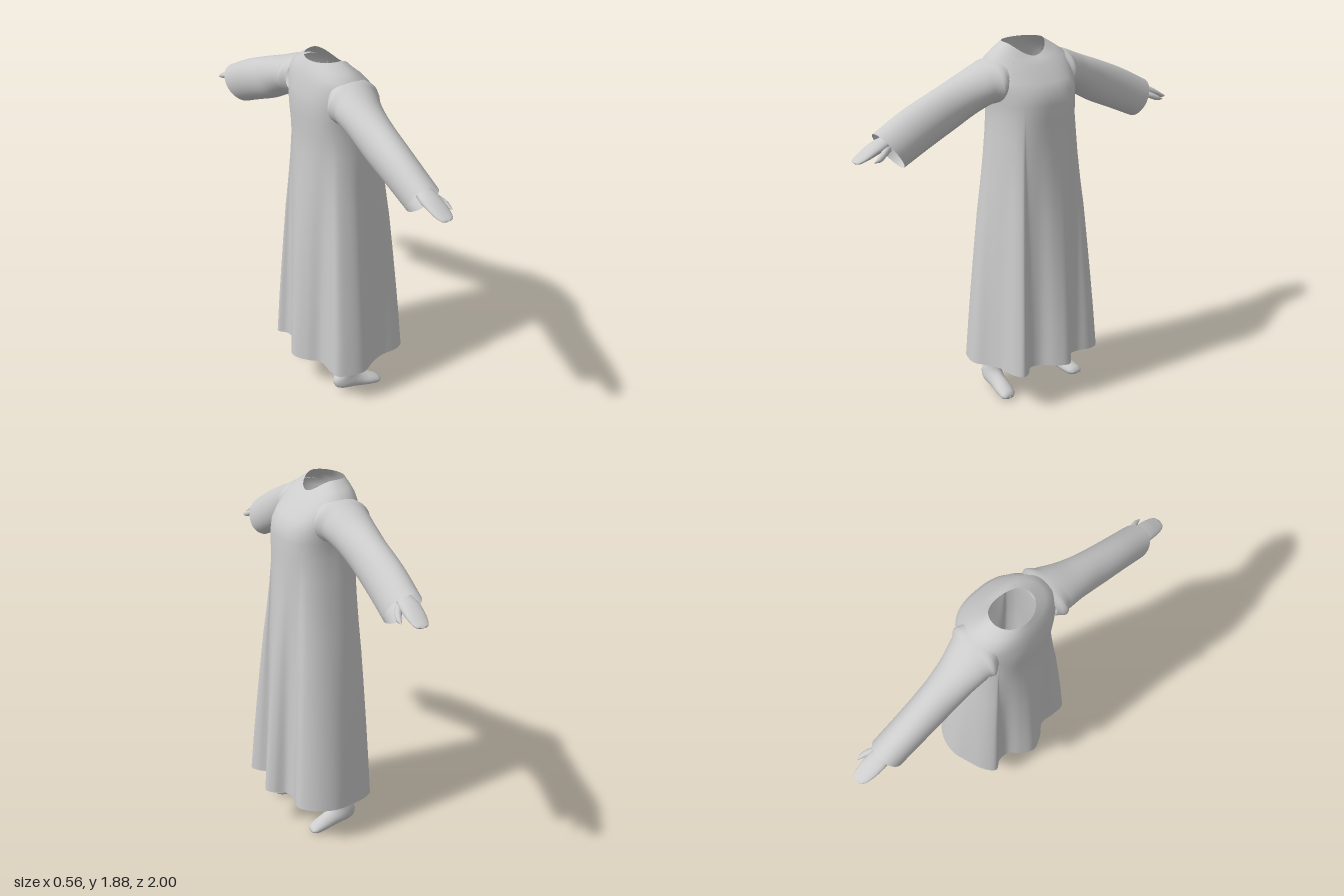
import * as THREE from 'three';

const fabric = new THREE.MeshStandardMaterial({ color: 0xcccccc, side: THREE.DoubleSide });
fabric.name = 'pale grey';

// Skins a list of equal-length closed rings with smooth normals
function skin(name, rings, flip = false) {
  const n = rings[0].length, index = [];
  for (let i = 0; i < rings.length - 1; i++) {
    for (let j = 0; j < n; j++) {
      const k = (j + 1) % n;
      const a = i * n + j, b = i * n + k, c = a + n, d = b + n;
      if (flip) index.push(a, b, c, b, d, c);
      else index.push(a, c, b, b, c, d);
    }
  }
  const geo = new THREE.BufferGeometry().setFromPoints(rings.flat());
  geo.setIndex(index);
  geo.computeVertexNormals();
  const mesh = new THREE.Mesh(geo, fabric);
  mesh.name = name;
  return mesh;
}

// Lofts oval sections [ends A, B of one diameter, half width along axis]; side mirrors z
function loft(name, sections, axis, side, steps = 20, sides = 28) {
  const path = (f) => new THREE.CatmullRomCurve3(sections.map(f));
  const pa = path((s) => new THREE.Vector3(...s[0]));
  const pb = path((s) => new THREE.Vector3(...s[1]));
  const pw = path((s) => new THREE.Vector3(s[2], 0, 0));
  const rings = [];
  for (let i = 0; i <= steps; i++) {
    const t = i / steps;
    const a = pa.getPoint(t), b = pb.getPoint(t), w = Math.max(pw.getPoint(t).x, 0.001);
    const mid = a.clone().add(b).multiplyScalar(0.5), half = a.sub(b).multiplyScalar(0.5);
    rings.push(Array.from({ length: sides }, (_, j) => {
      const p = (j / sides) * Math.PI * 2;
      const v = mid.clone().addScaledVector(half, Math.cos(p)).addScaledVector(axis, Math.sin(p) * w);
      v.z *= side;
      return v;
    }));
  }
  return skin(name, rings, side < 0);
}

// Hem outline seen from above, as [x, z], with its folds
const HEM = [
  [0.28, -0.03], [0.25, 0.03], [0.19, 0.09], [0.18, 0.15], [0.23, 0.2], [0.25, 0.245],
  [0.2, 0.275], [0.1, 0.275], [0.02, 0.3], [-0.06, 0.34], [-0.14, 0.325], [-0.2, 0.29],
  [-0.205, 0.22], [-0.2, 0.13], [-0.25, 0.07], [-0.285, -0.01], [-0.25, -0.08],
  [-0.2, -0.14], [-0.2, -0.2], [-0.23, -0.25], [-0.18, -0.3], [-0.08, -0.34],
  [0.02, -0.365], [0.12, -0.345], [0.19, -0.29], [0.2, -0.24], [0.18, -0.17], [0.19, -0.1], [0.25, -0.07],
];

// Robe body: folded hem fading into an oval chest, then in to a sloped collar
function robeBody() {
  const hem = new THREE.CatmullRomCurve3(HEM.map(([x, z]) => new THREE.Vector3(x, 0, z)), true).getPoints(144);
  hem.pop();
  const soft = (v, e) => Math.sign(v) * Math.abs(v) ** e;
  const oval = (p, back, front, hz, e) => {
    const th = Math.atan2(p.z, p.x);
    return new THREE.Vector3(
      (front + back) / 2 + soft(Math.cos(th), e) * (front - back) / 2, 0, soft(Math.sin(th), e) * hz);
  };
  const rings = [];
  // Skirt: [height, amount of hem shape]
  const skirt = [[0.19, 1], [0.4, 0.87], [0.6, 0.73], [0.8, 0.58], [1, 0.42], [1.15, 0.27], [1.3, 0.14], [1.42, 0.06]];
  for (const [y, t] of skirt) {
    rings.push(hem.map((p) => {
      const v = oval(p, -0.212, 0.188, 0.22, 0.8).lerp(p, t);
      v.y = y + 0.03 * p.x * t;
      return v;
    }));
  }
  // Chest to collar: [back x, front x, half width, back y, front y, side y, squareness]
  const upper = [
    [-0.218, 0.19, 0.218, 1.52, 1.52, 1.52, 0.8],
    [-0.224, 0.19, 0.222, 1.6, 1.6, 1.6, 0.8],
    [-0.225, 0.18, 0.232, 1.67, 1.66, 1.66, 0.82],
    [-0.22, 0.15, 0.24, 1.72, 1.705, 1.72, 0.85],
    [-0.21, 0.11, 0.242, 1.78, 1.75, 1.77, 0.88],
    [-0.198, 0.08, 0.228, 1.82, 1.785, 1.81, 0.92],
    [-0.186, 0.055, 0.18, 1.85, 1.805, 1.845, 0.96],
    [-0.17, 0.03, 0.115, 1.88, 1.82, 1.885, 1],
  ];
  for (const [back, front, hz, yb, yf, ys, e] of upper) {
    rings.push(hem.map((p) => {
      const v = oval(p, back, front, hz, e);
      const c = Math.cos(Math.atan2(p.z, p.x));
      v.y = ys + ((c > 0 ? yf : yb) - ys) * c * c;
      return v;
    }));
  }
  return skin('robeBody', rings);
}

const X = new THREE.Vector3(1, 0, 0), Z = new THREE.Vector3(0, 0, 1);

// Wide sleeve from shoulder to open cuff: top edge, bottom edge, half depth
const SLEEVE = [
  [[-0.06, 1.825, 0.18], [-0.05, 1.6, 0.19], 0.13],
  [[-0.07, 1.808, 0.25], [-0.06, 1.595, 0.24], 0.13],
  [[-0.085, 1.755, 0.38], [-0.07, 1.56, 0.32], 0.108],
  [[-0.09, 1.705, 0.51], [-0.08, 1.495, 0.44], 0.094],
  [[-0.1, 1.63, 0.69], [-0.075, 1.425, 0.6], 0.09],
  [[-0.1, 1.54, 0.865], [-0.07, 1.36, 0.745], 0.088],
];
const HAND = [
  [[-0.09, 1.58, 0.66], [-0.09, 1.51, 0.64], 0.04],
  [[-0.09, 1.53, 0.8], [-0.09, 1.47, 0.79], 0.04],
  [[-0.092, 1.508, 0.87], [-0.09, 1.452, 0.86], 0.052],
  [[-0.09, 1.48, 0.925], [-0.088, 1.435, 0.92], 0.05],
  [[-0.088, 1.452, 0.97], [-0.086, 1.424, 0.965], 0.042],
  [[-0.086, 1.438, 0.992], [-0.085, 1.422, 0.99], 0.03],
  [[-0.085, 1.43, 1], [-0.085, 1.428, 1], 0.004],
];
const THUMB = [
  [[-0.065, 1.495, 0.82], [-0.06, 1.455, 0.81], 0.022],
  [[-0.037, 1.478, 0.86], [-0.035, 1.446, 0.85], 0.02],
  [[-0.018, 1.456, 0.9], [-0.016, 1.43, 0.89], 0.014],
  [[-0.012, 1.435, 0.93], [-0.012, 1.431, 0.93], 0.003],
];
// Leg, ankle, heel and foot: heel-side edge, instep-side edge, half width
const LEG = [
  [[-0.15, 0.6, 0.17], [-0.01, 0.6, 0.17], 0.068],
  [[-0.148, 0.35, 0.185], [-0.012, 0.35, 0.185], 0.062],
  [[-0.136, 0.2, 0.195], [-0.02, 0.2, 0.195], 0.047],
  [[-0.138, 0.13, 0.2], [-0.025, 0.145, 0.2], 0.038],
  [[-0.163, 0.085, 0.203], [-0.018, 0.115, 0.203], 0.042],
  [[-0.148, 0.043, 0.206], [0, 0.095, 0.208], 0.045],
  [[-0.06, 0.022, 0.213], [0.03, 0.078, 0.213], 0.044],
  [[0.025, 0.006, 0.222], [0.065, 0.062, 0.222], 0.047],
  [[0.082, 0.001, 0.23], [0.098, 0.045, 0.23], 0.042],
  [[0.108, 0.01, 0.233], [0.11, 0.03, 0.233], 0.026],
  [[0.112, 0.018, 0.233], [0.112, 0.022, 0.233], 0.004],
];

export function createModel() {
  const model = new THREE.Group();
  model.name = 'robedFigure';
  model.add(robeBody());
  for (const [label, side] of [['left', 1], ['right', -1]]) {
    model.add(
      loft(label + 'Sleeve', SLEEVE, X, side, 24, 36),
      loft(label + 'Hand', HAND, X, side),
      loft(label + 'Thumb', THUMB, X, side, 12, 14),
      loft(label + 'LegAndFoot', LEG, Z, side, 40),
    );
  }
  return model;
}
